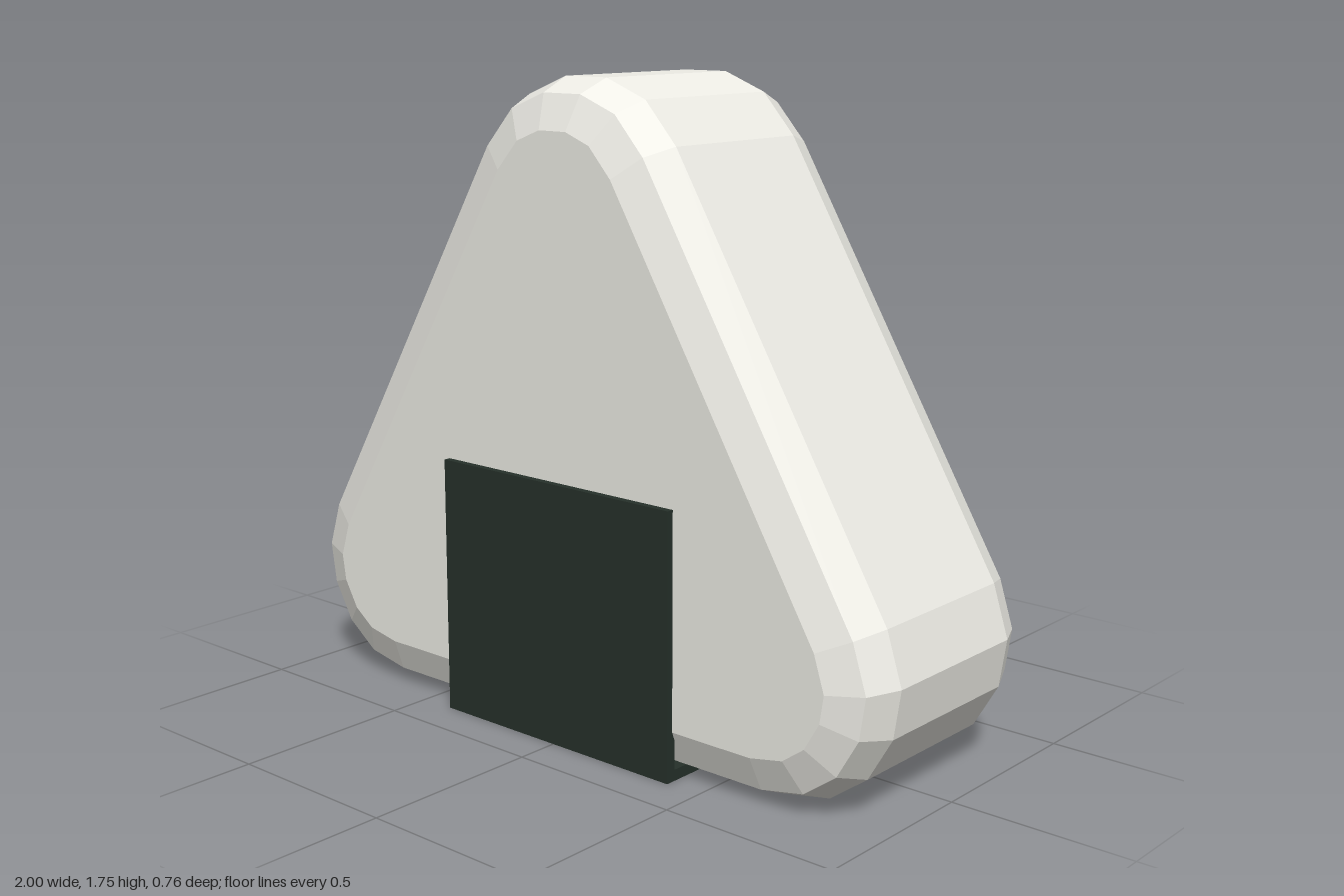
import * as THREE from 'three';

// Right half of the rounded triangle, bottom to top
const HALF = [
  [0.66, 0.003], [0.8, 0.03], [0.91, 0.11], [0.98, 0.23], [1, 0.36],
  [0.955, 0.5], [0.3, 1.59], [0.2, 1.7], [0.07, 1.75],
];

export function createModel() {
  const group = new THREE.Group();
  group.name = 'riceBall';
  const riceMat = new THREE.MeshStandardMaterial({ color: 0xeeede6, flatShading: true });
  const seaweedMat = new THREE.MeshStandardMaterial({ color: 0x26312a, flatShading: true });

  // Rice body: mirrored outline, extruded with a two-step rounded edge
  const outline = [...HALF, ...HALF.map(([x, y]) => [-x, y]).reverse()];
  const shape = new THREE.Shape(outline.map(([x, y]) => new THREE.Vector2(x, y)));
  const depth = 0.474;
  const riceGeo = new THREE.ExtrudeGeometry(shape, {
    depth, bevelEnabled: true, bevelSegments: 2,
    bevelThickness: 0.126, bevelSize: 0.13, bevelOffset: -0.13,
  });
  riceGeo.translate(0, 0, -depth / 2);
  const rice = new THREE.Mesh(riceGeo, riceMat);
  rice.name = 'rice';
  group.add(rice);

  // Seaweed strip: one U-shaped section (z, y) swept across the width
  const out = 0.382, inn = 0.354, top = 0.715, floor = 0.03, width = 0.8;
  const section = new THREE.Shape([
    [-out, 0], [out, 0], [out, top], [inn, top],
    [inn, floor], [-inn, floor], [-inn, top], [-out, top],
  ].map(([z, y]) => new THREE.Vector2(z, y)));
  const stripGeo = new THREE.ExtrudeGeometry(section, { depth: width, bevelEnabled: false });
  stripGeo.translate(0, 0, -width / 2).rotateY(Math.PI / 2);
  const strip = new THREE.Mesh(stripGeo, seaweedMat);
  strip.name = 'seaweedStrip';
  group.add(strip);

  return group;
}
